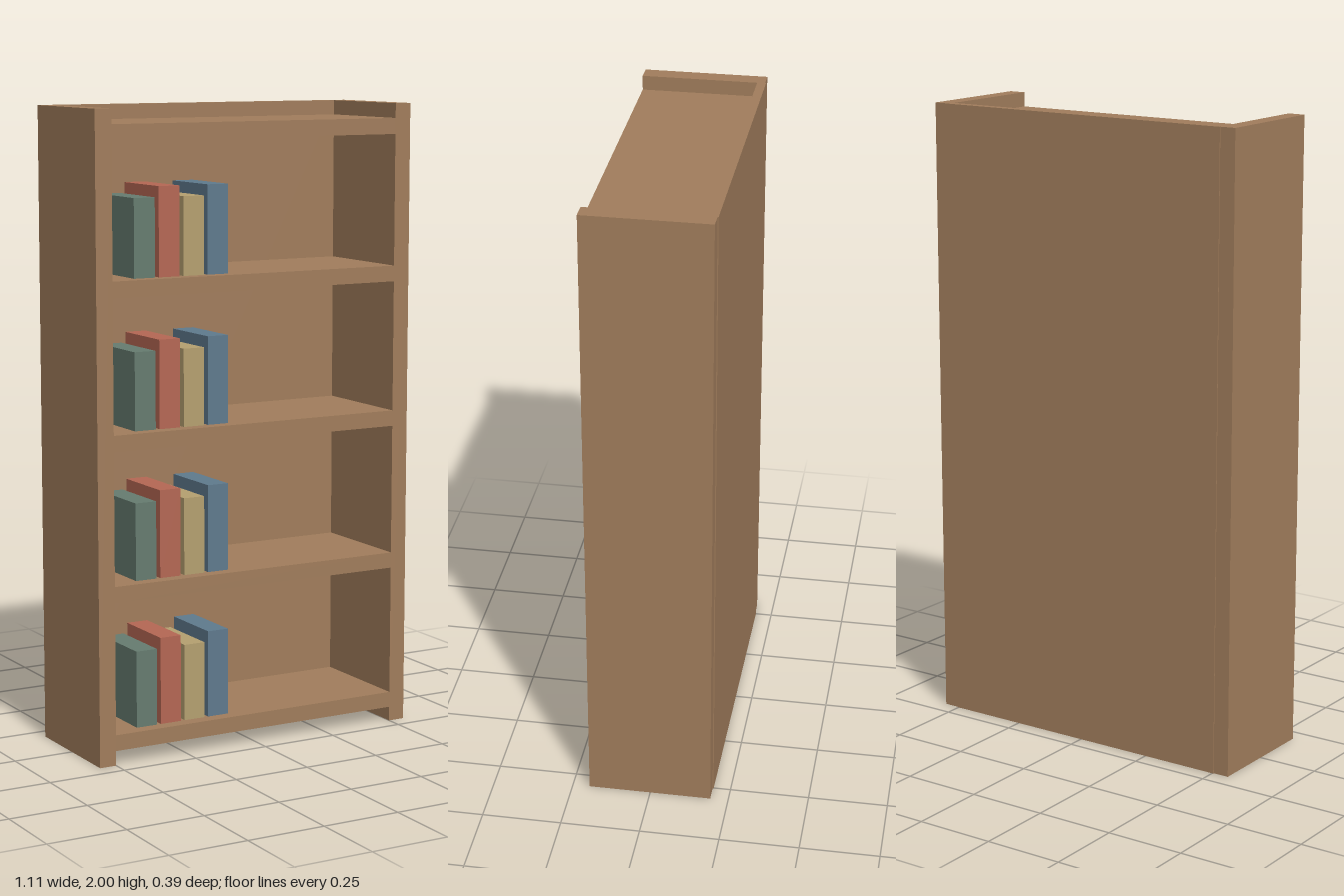
import * as THREE from 'three';

const material = (name, color) => {
  const m = new THREE.MeshStandardMaterial({ color });
  m.name = name;
  return m;
};

// Box given by its size and centre
function box(name, mat, [w, h, d], [x, y, z]) {
  const mesh = new THREE.Mesh(new THREE.BoxGeometry(w, h, d), mat);
  mesh.name = name;
  mesh.position.set(x, y, z);
  return mesh;
}

export function createModel() {
  const wood = material('wood', 0xa17d5c);
  const teal = material('tealCover', 0x667c70);
  const red = material('redCover', 0xb56754);
  const yellow = material('yellowCover', 0xb5a070);
  const blue = material('blueCover', 0x5f7a8d);

  const model = new THREE.Group();
  model.name = 'bookcase';

  // Side panels
  for (const [name, s] of [['leftSide', 1], ['rightSide', -1]]) {
    model.add(box(name, wood, [0.055, 2, 0.389], [s * 0.5275, 1, 0.0015]));
  }

  // Back panel, standing slightly proud of the sides
  model.add(box('backPanel', wood, [1.008, 2, 0.028], [0, 1, -0.182]));

  // Shelves, flush with the front edges
  const thickness = 0.05;
  const shelfY = (i) => 1 + (i - 2) * 0.4645;
  for (let i = 0; i < 5; i++) {
    model.add(box('shelf' + (i + 1), wood, [1, thickness, 0.364], [0, shelfY(i), 0.014]));
  }

  // Four books on each of the lower four shelves
  const covers = [teal, red, yellow, blue];
  for (let i = 0; i < 4; i++) {
    const row = new THREE.Group();
    row.name = 'bookRow' + (i + 1);
    row.position.y = shelfY(i) + thickness / 2;
    covers.forEach((cover, j) => {
      const h = j % 2 ? 0.275 : 0.242;
      row.add(box('book' + (j + 1), cover, [0.071, h, 0.224], [-0.371 + j * 0.0843, h / 2, 0.043]));
    });
    model.add(row);
  }
  return model;
}
